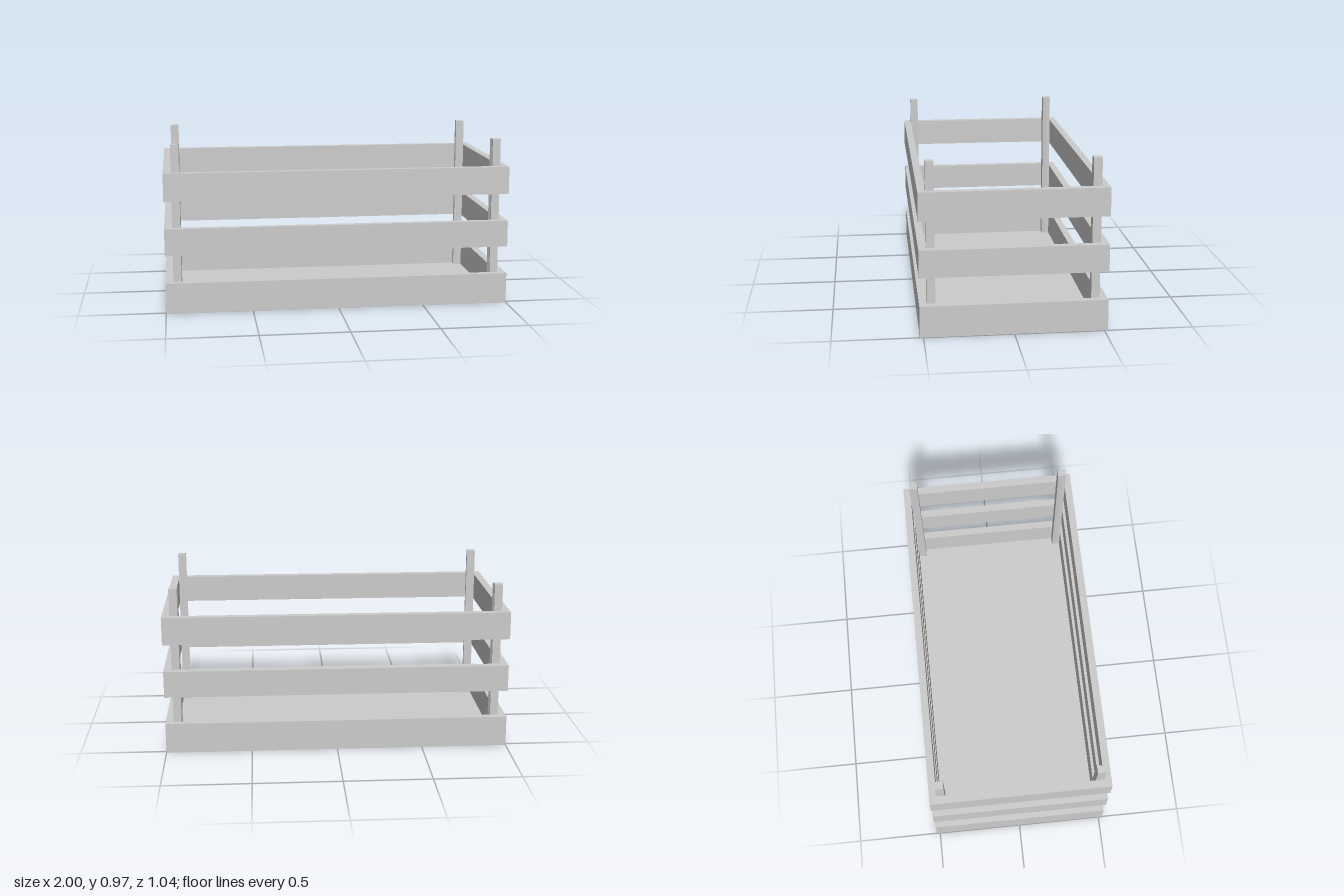
import * as THREE from 'three';

const W = 1, D = 0.52;             // outer half width and half depth
const IW = 0.955, ID = 0.478;      // inner half width and half depth
const material = new THREE.MeshStandardMaterial({ color: 0xcccccc, flatShading: true });

const outline = (a, b) => [[-a, -b], [a, -b], [a, b], [-a, b]].map(([x, y]) => new THREE.Vector2(x, y));

// Stand a plan shape upright between two heights
function upright(name, shape, y0, y1) {
  const geometry = new THREE.ExtrudeGeometry(shape, { depth: y1 - y0, bevelEnabled: false });
  geometry.rotateX(-Math.PI / 2);
  geometry.translate(0, y0, 0);
  const mesh = new THREE.Mesh(geometry, material);
  mesh.name = name;
  return mesh;
}

export function createModel() {
  const crate = new THREE.Group();
  crate.name = 'crate';

  // Thin floor panel
  const floor = new THREE.Mesh(new THREE.BoxGeometry(2 * W, 0.005, 2 * D), material);
  floor.position.y = 0.0025;
  floor.name = 'floor';
  crate.add(floor);

  // Three rectangular slat frames
  const frame = new THREE.Shape(outline(W, D));
  frame.holes.push(new THREE.Path(outline(IW, ID)));
  for (const [name, y0, y1] of [
    ['bottomFrame', 0.005, 0.178],
    ['middleFrame', 0.34, 0.495],
    ['topFrame', 0.655, 0.815],
  ]) crate.add(upright(name, frame, y0, y1));

  // Corner posts with a slightly hollowed inner side
  const section = [[IW, ID], [0.908, ID], [0.912, 0.455], [0.904, 0.43], [IW, 0.43]];
  for (const sx of [-1, 1]) {
    for (const sz of [-1, 1]) {
      const shape = new THREE.Shape(section.map(([x, z]) => new THREE.Vector2(sx * x, -sz * z)));
      const name = (sz > 0 ? 'front' : 'back') + (sx > 0 ? 'Left' : 'Right') + 'Post';
      crate.add(upright(name, shape, 0.005, 0.972));
    }
  }
  return crate;
}
